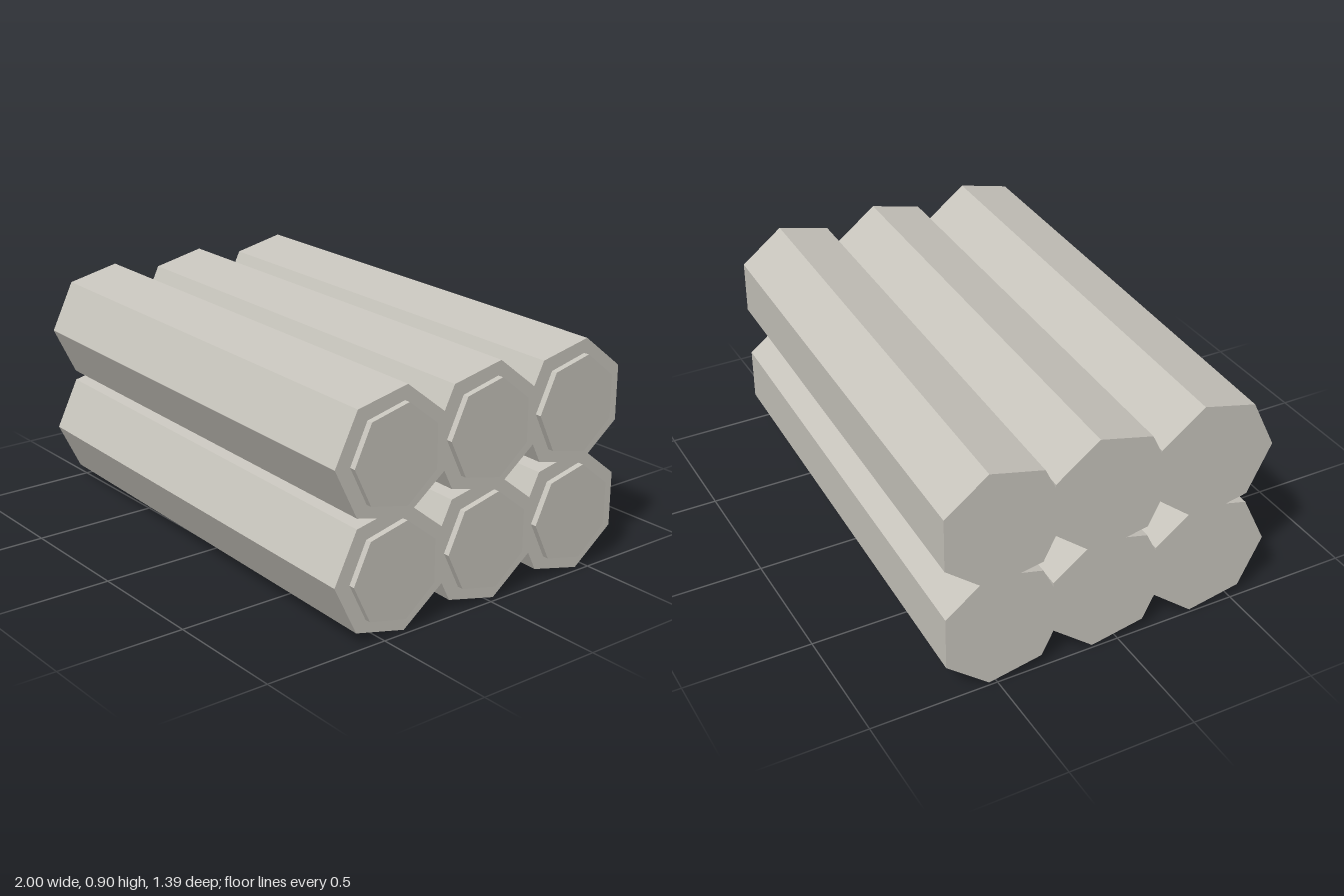
import * as THREE from 'three';

// Stack of six seven-sided logs, each with a smaller raised end disc
export function createModel() {
  const group = new THREE.Group();
  const paleGrey = new THREE.MeshStandardMaterial({ color: 0xc8c5bd, flatShading: true });
  paleGrey.name = 'paleGrey';

  const SIDES = 7;
  const LENGTH = 1.966;
  const SKEW = 0.036; // slight turn of every log about the vertical

  // Seven-sided prism lying along x with one corner towards +z
  const prism = (radius, length) =>
    new THREE.CylinderGeometry(radius, radius, length, SIDES).rotateZ(-Math.PI / 2);

  const logGeometry = prism(0.246, LENGTH).rotateY(-SKEW);
  const discGeometry = prism(0.19, 0.024);

  for (let row = 0; row < 2; row++) {
    for (let column = 0; column < 3; column++) {
      const unit = new THREE.Group();
      unit.name = `logRow${row + 1}Column${column + 1}`;
      unit.position.set(-0.008, 0.24 + row * 0.424, -0.012 + (1 - column) * 0.425);

      const log = new THREE.Mesh(logGeometry, paleGrey);
      log.name = 'log';

      // End disc standing proud of the +x end
      const disc = new THREE.Mesh(discGeometry, paleGrey);
      disc.name = 'endDisc';
      disc.position.set(0.996, 0, Math.sin(SKEW) * LENGTH / 2);

      unit.add(log, disc);
      group.add(unit);
    }
  }
  return group;
}
